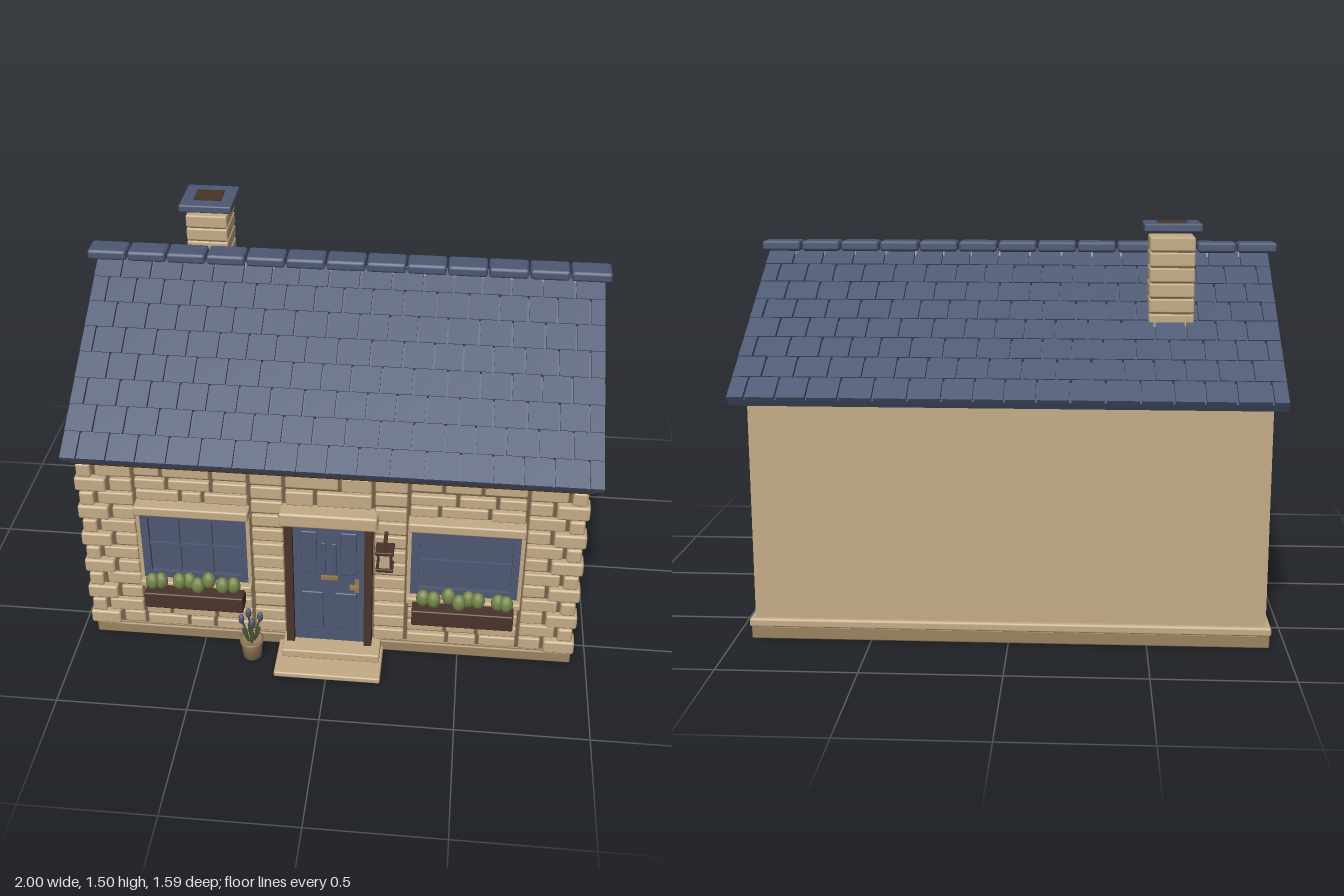
import * as THREE from 'three';
import { RoundedBoxGeometry } from 'three/addons/geometries/RoundedBoxGeometry.js';

const mat = (name, color) => {
  const m = new THREE.MeshStandardMaterial({ color });
  m.name = name;
  return m;
};

export function createModel() {
  const stone = mat('sandstone', 0xc4ab86);
  const darkStone = mat('dark sandstone', 0x9a8260);
  const mortar = mat('mortar', 0x74634b);
  const slate = mat('slate blue', 0x4d5873);
  const wood = mat('dark wood', 0x4a332a);
  const green = mat('leaf green', 0x75864a);
  const stemGreen = mat('stem green', 0x47573a);
  const brass = mat('brass', 0x96794a);

  const house = new THREE.Group();
  house.name = 'cottage';
  let seed = 7;
  const rand = () => (seed = (seed * 16807) % 2147483647) / 2147483647;

  const add = (name, geo, m, x = 0, y = 0, z = 0, parent = house) => {
    const mesh = new THREE.Mesh(geo, m);
    mesh.name = name;
    mesh.position.set(x, y, z);
    parent.add(mesh);
    return mesh;
  };
  // box given by its limits; r > 0 softens the edges
  const block = (name, m, x0, x1, y0, y1, z0, z1, r = 0, parent = house) => {
    const s = [x1 - x0, y1 - y0, z1 - z0];
    const geo = r ? new RoundedBoxGeometry(...s, 1, r) : new THREE.BoxGeometry(...s);
    return add(name, geo, m, (x0 + x1) / 2, (y0 + y1) / 2, (z0 + z1) / 2, parent);
  };
  const group = (name, parent = house) => {
    const g = new THREE.Group();
    g.name = name;
    parent.add(g);
    return g;
  };

  // plinth, walls and gable
  block('plinthBase', darkStone, -0.94, 0.94, 0, 0.05, -0.71, 0.605, 0.006);
  block('plinthTop', stone, -0.945, 0.945, 0.048, 0.08, -0.72, 0.6, 0.008);
  block('walls', stone, -0.925, 0.925, 0.08, 0.885, -0.7, 0.58);
  block('frontMortar', mortar, -0.92, 0.92, 0.08, 0.86, 0.58, 0.62);
  const gable = new THREE.Shape([[-0.58, 0.895], [0.69, 0.895], [0.04, 1.285]].map(p => new THREE.Vector2(...p)));
  const gableGeo = new THREE.ExtrudeGeometry(gable, { depth: 1.85, bevelEnabled: false });
  gableGeo.translate(0, 0, -0.925).rotateY(Math.PI / 2);
  add('gable', gableGeo, stone);
  block('eavesBeam', wood, -0.945, 0.95, 0.855, 0.905, 0.565, 0.655, 0.006);

  // front masonry: quoins at the corners, coursed stones between openings
  const masonry = group('frontMasonry');
  const gap = 0.006;
  const course = (x0, x1, y0, y1) => {
    const n = Math.max(1, Math.round((x1 - x0) / 0.17));
    let left = x0;
    for (let i = 1; i <= n; i++) {
      const right = i === n ? x1 : x0 + (x1 - x0) * (i + (rand() - 0.5) * 0.6) / n;
      block('wallStone', stone, left + gap, right - gap, y0 + gap, y1 - gap, 0.6, 0.632 + rand() * 0.01, 0.006, masonry);
      left = right;
    }
  };
  const fill = (x0, x1, y0, y1, rows) => {
    const h = (y1 - y0) / rows;
    for (let i = 0; i < rows; i++) course(x0, x1, y0 + i * h, y0 + (i + 1) * h);
  };
  const rows = 12, y0 = 0.082, rowH = (0.856 - y0) / rows;
  for (const s of [-1, 1]) {
    const span = (a, b) => (s > 0 ? [a, b] : [-b, -a]);
    for (let i = 0; i < rows; i++) {
      const wide = i % 2 === 0;
      const inner = wide ? 0.82 : 0.87, y = y0 + i * rowH;
      block('quoin', stone, ...span(inner + gap, wide ? 0.945 : 0.933), y + 0.003, y + rowH - 0.003, 0.58, 0.65, 0.009, masonry);
      course(...span(0.725, inner), y, y + rowH);
    }
    fill(...span(0.295, 0.725), 0.082, 0.31, 4);
    fill(...span(0.295, 0.725), 0.69, 0.856, 3);
    fill(...span(0.165, 0.295), 0.082, 0.856, 12);
  }
  fill(-0.165, 0.165, 0.71, 0.856, 2);

  // windows with flower boxes
  for (const s of [-1, 1]) {
    const w = group(s > 0 ? 'leftWindow' : 'rightWindow');
    w.position.x = s * 0.51;
    block('pane', slate, -0.2, 0.2, 0.33, 0.65, 0.615, 0.625, 0, w);
    for (const k of [-1, 1]) {
      block('surround', stone, k * 0.208 - 0.007, k * 0.208 + 0.007, 0.33, 0.65, 0.615, 0.648, 0, w);
      block('frameSide', slate, k * 0.187 - 0.014, k * 0.187 + 0.014, 0.335, 0.65, 0.62, 0.642, 0, w);
      block('glazingBar', slate, k * 0.062 - 0.006, k * 0.062 + 0.006, 0.34, 0.64, 0.62, 0.636, 0, w);
    }
    for (const y of [0.35, 0.635]) block('frameRail', slate, -0.18, 0.18, y - 0.014, y + 0.014, 0.62, 0.642, 0, w);
    block('crossBar', slate, -0.18, 0.18, 0.486, 0.498, 0.62, 0.636, 0, w);
    block('lintel', stone, -0.215, 0.215, 0.65, 0.69, 0.6, 0.675, 0.007, w);
    block('sill', stone, -0.215, 0.215, 0.305, 0.333, 0.6, 0.67, 0.006, w);
    block('flowerBox', wood, -0.19, 0.19, 0.25, 0.32, 0.65, 0.725, 0.005, w);
    [-0.15, -0.11, -0.055, -0.015, 0.02, 0.055, 0.13, 0.16].forEach((x, i) => {
      const bush = add('bush', new THREE.SphereGeometry(0.028, 10, 8), green, s * x, 0.35 + (i % 3) * 0.008, 0.68 + (i % 2) * 0.015, w);
      bush.scale.set(0.95, 1.3, 0.9);
    });
  }

  // door, frame, steps
  const door = group('door');
  block('doorLeaf', slate, -0.135, 0.14, 0.065, 0.648, 0.615, 0.635, 0, door);
  for (const s of [-1, 1]) {
    block('doorJamb', wood, s * 0.15 - 0.015, s * 0.15 + 0.015, 0.06, 0.65, 0.6, 0.657, 0, door);
    block('lowerPanel', slate, s * 0.064 - 0.042, s * 0.064 + 0.042, 0.13, 0.31, 0.63, 0.642, 0.004, door);
    block('upperPanel', slate, s * 0.075 - 0.03, s * 0.075 + 0.03, 0.4, 0.6, 0.63, 0.641, 0.004, door);
    block('centreStrip', slate, s * 0.02 - 0.008, s * 0.02 + 0.008, 0.4, 0.55, 0.63, 0.644, 0.003, door);
  }
  block('letterPlate', brass, -0.03, 0.035, 0.376, 0.392, 0.63, 0.645, 0, door);
  block('handlePlate', brass, 0.097, 0.115, 0.32, 0.38, 0.63, 0.643, 0, door);
  block('handle', brass, 0.08, 0.112, 0.345, 0.357, 0.64, 0.66, 0, door);
  block('doorLintel', stone, -0.18, 0.185, 0.65, 0.71, 0.6, 0.688, 0.009, door);
  block('upperStep', stone, -0.18, 0.2, 0.028, 0.065, 0.58, 0.71, 0.006, door);
  block('lowerStep', stone, -0.2, 0.21, 0.006, 0.03, 0.61, 0.8, 0.006, door);

  // wall lantern
  const lamp = group('lantern');
  lamp.position.set(0.215, 0, 0.703);
  block('bracket', wood, -0.007, 0.007, 0.608, 0.62, -0.08, 0.012, 0, lamp);
  block('hanger', wood, -0.005, 0.005, 0.595, 0.612, -0.005, 0.005, 0, lamp);
  block('lampRoof', wood, -0.034, 0.034, 0.582, 0.597, -0.032, 0.032, 0.003, lamp);
  block('lampGlass', stone, -0.022, 0.022, 0.515, 0.585, -0.022, 0.022, 0, lamp);
  block('lampBase', wood, -0.032, 0.032, 0.503, 0.518, -0.03, 0.03, 0.003, lamp);
  for (const x of [-0.023, 0.023]) for (const z of [-0.023, 0.023])
    block('lampPost', wood, x - 0.004, x + 0.004, 0.51, 0.59, z - 0.004, z + 0.004, 0, lamp);

  // potted flowers
  const pot = group('flowerPot');
  pot.position.set(-0.3, 0, 0.685);
  const potProfile = [[0, 0.006], [0.036, 0.006], [0.042, 0.075], [0.046, 0.075], [0.046, 0.09], [0.038, 0.09], [0.036, 0.08], [0, 0.08]];
  add('pot', new THREE.LatheGeometry(potProfile.map(p => new THREE.Vector2(...p)), 16), darkStone, 0, 0, 0, pot);
  [[-0.035, 0.188, 0.01], [-0.012, 0.195, -0.018], [0.008, 0.178, 0.02], [0.036, 0.192, -0.005]].forEach(([x, y, z]) => {
    const curve = new THREE.QuadraticBezierCurve3(new THREE.Vector3(x * 0.3, 0.075, z * 0.3),
      new THREE.Vector3(x * 0.4, 0.13, z * 0.4), new THREE.Vector3(x, y, z));
    add('stem', new THREE.TubeGeometry(curve, 6, 0.004, 5), stemGreen, 0, 0, 0, pot);
    add('bloom', new THREE.SphereGeometry(0.012, 8, 6), slate, x, y + 0.008, z, pot).scale.y = 1.9;
    const leaf = add('leaf', new THREE.SphereGeometry(0.01, 6, 6), stemGreen, x * 0.6, 0.115, z * 0.9, pot);
    leaf.scale.set(0.8, 4, 0.5);
    leaf.rotation.z = -x * 9;
  });

  // roof: two slopes of overlapping slates
  const angle = Math.atan2(0.455, 0.745), length = 0.873;
  const nRows = 8, nTiles = 17, pitch = length / nRows, tileW = 1.95 / nTiles;
  for (const s of [1, -1]) {
    const side = group(s > 0 ? 'frontRoof' : 'backRoof');
    side.position.set(0.005, 1.372, -0.04);
    side.rotation.y = s > 0 ? 0 : Math.PI;
    const slope = group('slope', side);
    slope.rotation.x = angle;
    block('roofDeck', slate, -0.972, 0.972, -0.045, -0.016, 0, length - 0.006, 0, slope);
    for (let r = 0; r < nRows; r++) {
      const shift = r % 2 ? tileW / 2 : 0;
      for (let i = 0; i <= nTiles; i++) {
        const jitter = k => (k <= 0 || k >= nTiles ? 0 : Math.sin(k * 5.3 + r * 2.1) * 0.008);
        const a = Math.max(-0.975, -0.975 + i * tileW - shift + jitter(i));
        const b = Math.min(0.975, -0.975 + (i + 1) * tileW - shift + jitter(i + 1));
        if (b - a < 0.02) continue;
        const tile = block('roofSlate', slate, a + 0.004, b - 0.004, -0.017, 0, r * pitch, (r + 1) * pitch, 0, slope);
        tile.rotation.x = -0.035;
      }
    }
  }
  // ridge caps
  for (let i = 0; i < 13; i++) {
    const x = -1 + i * (2 / 13);
    block('ridgeCap', slate, x + (i ? 0.002 : 0), x + 2 / 13 - (i < 12 ? 0.002 : 0), 1.36, 1.4, -0.09, 0.01, 0.012);
  }

  // chimney
  const chimney = group('chimney');
  chimney.position.set(-0.58, 0, -0.33);
  block('chimneyCore', mortar, -0.074, 0.074, 1.11, 1.44, -0.082, 0.082, 0, chimney);
  for (let i = 0; i < 6; i++) {
    const y = 1.113 + i * 0.056;
    block('chimneyCourse', stone, -0.083, 0.083, y + 0.002, y + 0.054, -0.09, 0.09, 0.007, chimney);
  }
  block('chimneyCap', slate, -0.105, 0.105, 1.466, 1.496, -0.105, 0.105, 0.006, chimney);
  block('flue', wood, -0.055, 0.055, 1.492, 1.5, -0.048, 0.048, 0, chimney);

  return house;
}
